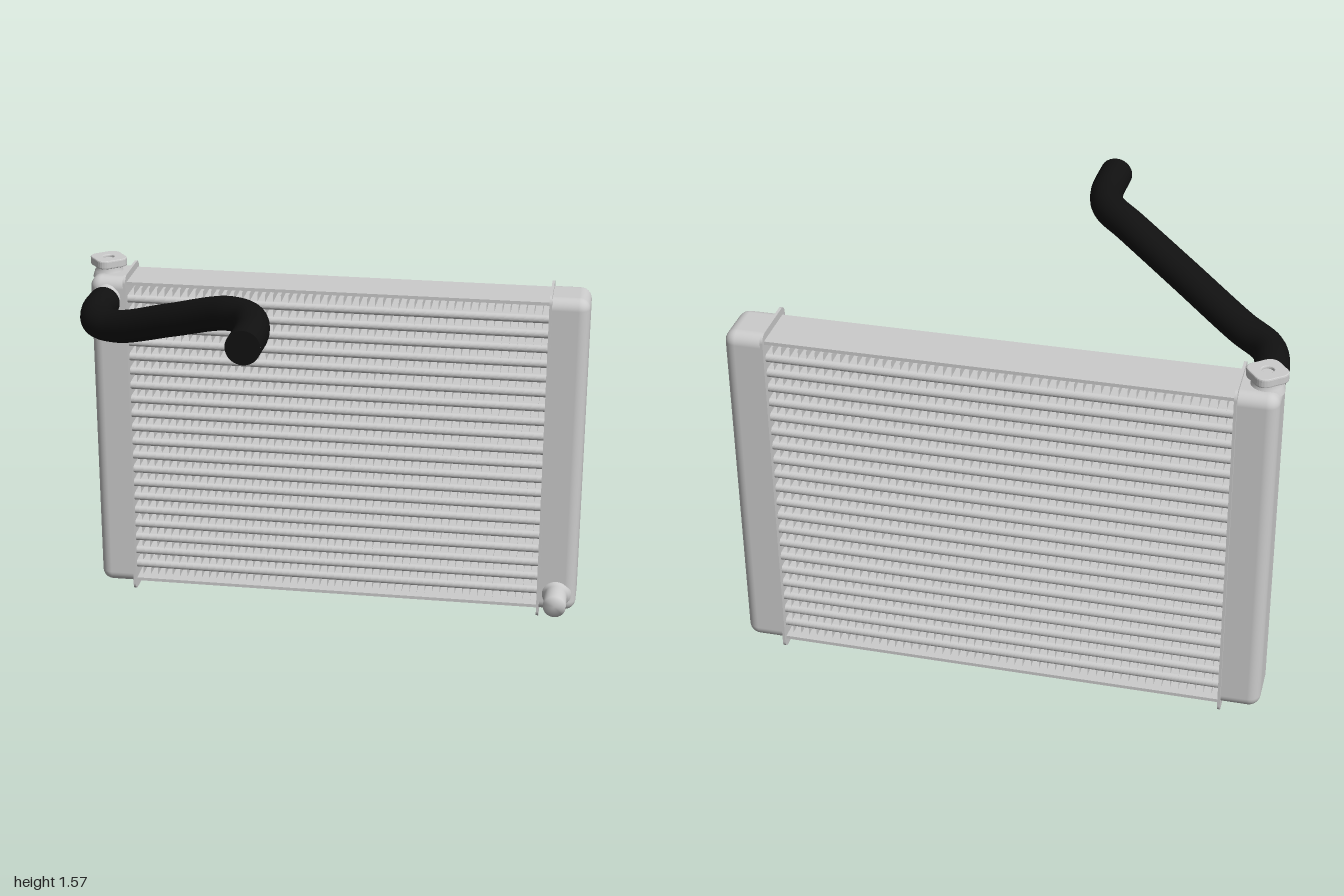
import * as THREE from 'three';
import { mergeGeometries } from 'three/addons/utils/BufferGeometryUtils.js';
import { RoundedBoxGeometry } from 'three/addons/geometries/RoundedBoxGeometry.js';

const grey = new THREE.MeshStandardMaterial({ color: 0xcccccc });
const sheet = new THREE.MeshStandardMaterial({ color: 0xcccccc, side: THREE.DoubleSide });
const rubber = new THREE.MeshStandardMaterial({ color: 0x111111 });

const X0 = -0.835, X1 = 0.848;         // core ends
const XC = (X0 + X1) / 2, XL = X1 - X0;
const ZC = -0.545, DEPTH = 0.2;        // core depth
const Y0 = 0.047, Y1 = 1.337;          // between the side plates

function add(parent, name, geometry, material, x = 0, y = 0, z = 0) {
  const mesh = new THREE.Mesh(geometry, material);
  mesh.name = name;
  mesh.position.set(x, y, z);
  parent.add(mesh);
  return mesh;
}

// Rounded rectangle, centred on the origin
function roundedRect(w, h, r) {
  const s = new THREE.Shape();
  const a = w / 2 - r, b = h / 2 - r;
  s.absarc(a, b, r, 0, Math.PI / 2);
  s.absarc(-a, b, r, Math.PI / 2, Math.PI);
  s.absarc(-a, -b, r, Math.PI, Math.PI * 1.5);
  s.absarc(a, -b, r, Math.PI * 1.5, Math.PI * 2);
  s.closePath();
  return s;
}

// Section in z and y, extruded along x and centred
function extrudeAlongX(shape, length, segments) {
  const g = new THREE.ExtrudeGeometry(shape, { depth: length, bevelEnabled: false, curveSegments: segments });
  return g.translate(0, 0, -length / 2).rotateY(Math.PI / 2);
}

// End tank: rounded outside, cut flat where it meets the header plate
function tankGeometry(outer, inner) {
  const dir = Math.sign(inner - outer);
  const w = Math.abs(inner - outer) + 0.06;
  const g = new RoundedBoxGeometry(w, 1.34, 0.212, 5, 0.045);
  g.translate(outer + dir * w / 2, 0.694, ZC + 0.003);
  const p = g.attributes.position;
  for (let i = 0; i < p.count; i++) {
    if ((p.getX(i) - inner) * dir > 0) p.setX(i, inner);
  }
  return g;
}

// Lathe profile turned to point along +z
function pipe(parent, name, profile, x, y, z) {
  const pts = profile.map(([r, t]) => new THREE.Vector2(r, t));
  add(parent, name, new THREE.LatheGeometry(pts, 32).rotateX(Math.PI / 2), sheet, x, y, z);
}

function buildCore() {
  const core = new THREE.Group();
  core.name = 'core';
  const rows = 21, pitch = (Y1 - Y0) / rows, tubeH = 0.033;

  // Flat tubes with round edges
  const tube = extrudeAlongX(roundedRect(DEPTH - 0.004, tubeH, tubeH / 2 - 0.0005), XL, 6);
  for (let i = 1; i < rows; i++) add(core, 'flatTube', tube, grey, XC, Y0 + i * pitch, ZC);

  // Upright fins between the tubes
  const fins = [], count = 54;
  for (let r = 0; r < rows; r++) {
    for (let i = 1; i < count; i++) {
      const fin = new THREE.PlaneGeometry(DEPTH - 0.02, pitch - tubeH + 0.004).rotateY(Math.PI / 2);
      fins.push(fin.translate(X0 + i * XL / count, Y0 + (r + 0.5) * pitch, ZC));
    }
  }
  add(core, 'fins', mergeGeometries(fins), sheet);

  // Top and bottom side plates
  const plate = new THREE.BoxGeometry(XL, 0.013, DEPTH);
  add(core, 'topPlate', plate, grey, XC, Y1 + 0.006, ZC);
  add(core, 'bottomPlate', plate, grey, XC, Y0 - 0.006, ZC);
  return core;
}

function buildCap() {
  const cap = new THREE.Group();
  cap.name = 'fillerCap';
  cap.position.set(-0.925, 0, ZC - 0.003);

  // Filler neck
  const neck = [[0.064, 1.34], [0.056, 1.366], [0.05, 1.375], [0.05, 1.395]];
  add(cap, 'fillerNeck', new THREE.LatheGeometry(neck.map(([r, y]) => new THREE.Vector2(r, y)), 32), sheet);

  // Lobed lid with a small dimple
  const pts = [];
  for (let i = 0; i < 48; i++) {
    const a = i / 48 * Math.PI * 2;
    const r = 0.069 + 0.006 * Math.cos(4 * a + 0.5) ;
    pts.push(new THREE.Vector2(r * Math.cos(a), r * Math.sin(a)));
  }
  const lid = new THREE.Shape(pts);
  const hole = new THREE.Path();
  hole.absarc(0, 0, 0.021, 0, Math.PI * 2, true);
  lid.holes.push(hole);
  const g = new THREE.ExtrudeGeometry(lid, {
    depth: 0.022, bevelThickness: 0.006, bevelSize: 0.004, bevelOffset: -0.004, bevelSegments: 2,
  }).rotateX(-Math.PI / 2);
  add(cap, 'lid', g, grey, 0, 1.392, 0);
  add(cap, 'dimple', new THREE.CylinderGeometry(0.023, 0.023, 0.02, 24), grey, 0, 1.4, 0);
  return cap;
}

function buildHose() {
  const hose = new THREE.Group();
  hose.name = 'hose';
  const path = new THREE.CatmullRomCurve3([
    [-0.91, 1.28, -0.39], [-0.91, 1.28, -0.28], [-0.875, 1.28, -0.16],
    [-0.77, 1.297, -0.07], [-0.53, 1.393, 0.095], [-0.29, 1.488, 0.26],
    [-0.19, 1.505, 0.36], [-0.155, 1.505, 0.48], [-0.155, 1.505, 0.66],
  ].map((p) => new THREE.Vector3(...p)), false, 'centripetal');
  const R = 0.063;
  add(hose, 'hoseBody', new THREE.TubeGeometry(path, 80, R, 28), rubber);

  // Closed ends
  add(hose, 'hoseFrontEnd', new THREE.CircleGeometry(R, 28), rubber, -0.155, 1.505, 0.66);
  add(hose, 'hoseBackEnd', new THREE.CircleGeometry(R, 28).rotateY(Math.PI), rubber, -0.91, 1.28, -0.39);
  return hose;
}

export function createModel() {
  const model = new THREE.Group();
  model.name = 'radiator';
  model.add(buildCore());

  // End tanks and header plates
  add(model, 'rightTank', tankGeometry(-0.982, X0), grey);
  add(model, 'leftTank', tankGeometry(1, X1), grey);
  const header = extrudeAlongX(roundedRect(0.242, 1.378, 0.03), 0.01, 8);
  for (const x of [X0, X1]) add(model, 'headerPlate', header, grey, x, 0.689, -0.541);

  // Inlet and outlet pipes, flared where they leave the tanks
  pipe(model, 'inletPipe', [[0.06, -0.005], [0.05, 0.006], [0.046, 0.018], [0.046, 0.06]], -0.91, 1.28, -0.437);
  pipe(model, 'outletPipe', [[0.062, -0.005], [0.052, 0.006], [0.046, 0.018], [0.046, 0.115], [0, 0.115]], 0.92, 0.104, -0.437);

  model.add(buildCap(), buildHose());
  return model;
}
